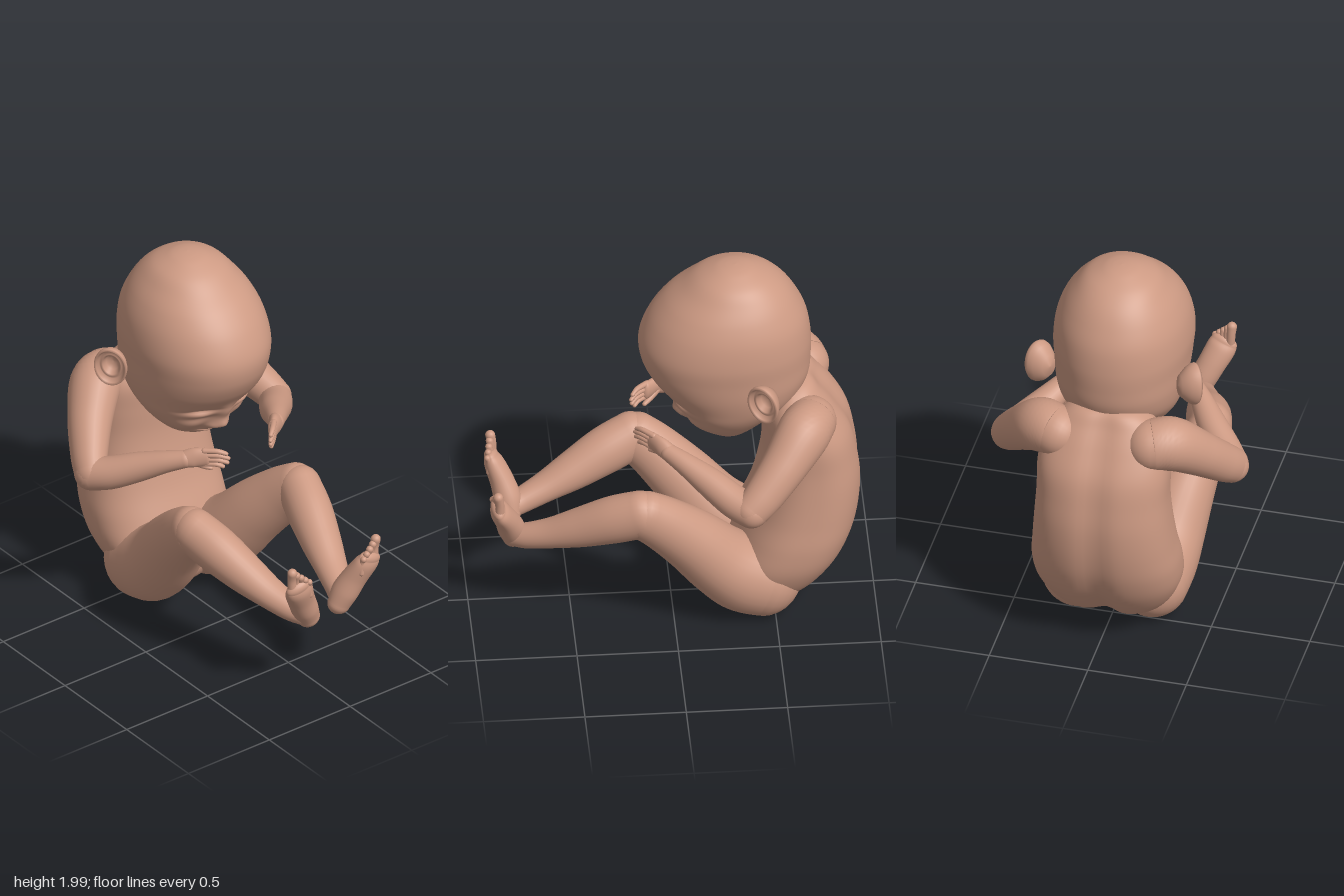
import * as THREE from 'three';
import { mergeVertices } from 'three/addons/utils/BufferGeometryUtils.js';

const skin = new THREE.MeshStandardMaterial({ name: 'skin', color: 0xcd9a83 });

// Smooth interpolation through rows of numbers, t from 0 to 1
function sample(rows, t) {
  const n = rows.length - 1, f = Math.min(t * n, n - 1e-6), i = Math.floor(f), u = f - i;
  const at = k => rows[Math.max(0, Math.min(n, k))];
  return rows[i].map((_, c) => {
    const a = at(i - 1)[c], b = at(i)[c], d = at(i + 1)[c], e = at(i + 2)[c];
    return b + 0.5 * u * (d - a + u * (2 * a - 5 * b + 4 * d - e + u * (3 * (b - d) + e - a)));
  });
}

// Skin a list of equal closed rings
function skinRings(rings) {
  const n = rings[0].length, index = [];
  for (let j = 0; j < rings.length - 1; j++) for (let i = 0; i < n; i++) {
    const k = (i + 1) % n, a = j * n + i, b = j * n + k;
    index.push(a, b, b + n, a, b + n, a + n);
  }
  const g = new THREE.BufferGeometry();
  g.setAttribute('position', new THREE.Float32BufferAttribute(rings.flat().flatMap(p => p.toArray()), 3));
  g.setIndex(index);
  const m = mergeVertices(g, 1e-5);
  m.computeVertexNormals();
  return m;
}

// Limb: rows of [x, y, z, sideways radius, other radius], with rounded ends
function limb(rows, steps = 36, sides = 28) {
  const X = new THREE.Vector3(1, 0, 0), rings = [];
  const pos = t => new THREE.Vector3(...sample(rows, t).slice(0, 3));
  const ring = (t, shift, k) => {
    const r = sample(rows, t), dir = pos(Math.min(1, t + 0.02)).sub(pos(Math.max(0, t - 0.02))).normalize();
    const side = X.clone().addScaledVector(dir, -X.dot(dir)).normalize();
    const up = dir.clone().cross(side);
    const c = pos(t).addScaledVector(dir, shift * Math.min(r[3], r[4]));
    rings.push(Array.from({ length: sides }, (_, i) => {
      const q = i / sides * Math.PI * 2;
      return c.clone().addScaledVector(side, r[3] * k * Math.cos(q)).addScaledVector(up, r[4] * k * Math.sin(q));
    }));
  };
  const cap = 8, angle = i => i / cap * Math.PI / 2;
  for (let i = cap; i > 0; i--) ring(0, -Math.sin(angle(i)), Math.cos(angle(i)));
  for (let j = 0; j <= steps; j++) ring(j / steps, 0, 1);
  for (let i = 1; i <= cap; i++) ring(1, Math.sin(angle(i)), Math.cos(angle(i)));
  return skinRings(rings);
}

// Body: rows of [y, front z, back z, half width], bottom to top
function slices(rows, steps, sides, power, shape) {
  const rings = [], pw = v => Math.sign(v) * Math.abs(v) ** (2 / power);
  for (let j = 0; j <= steps; j++) {
    const [y, zf, zb, w] = sample(rows, j / steps);
    rings.push(Array.from({ length: sides }, (_, i) => {
      const q = i / sides * Math.PI * 2, s = Math.sin(q);
      const p = new THREE.Vector3(w * pw(Math.cos(q)), y, (zf + zb) / 2 - (zf - zb) / 2 * pw(s));
      shape(p, -s);
      return p;
    }));
  }
  return skinRings(rings);
}

const bell = (d, s) => Math.exp(-d * d / (2 * s * s));

function mirrored(g) {
  const m = g.clone().scale(-1, 1, 1), a = m.index.array;
  for (let i = 0; i < a.length; i += 3) [a[i], a[i + 1]] = [a[i + 1], a[i]];
  return m;
}

export function createModel() {
  const model = new THREE.Group();
  model.name = 'baby';
  const add = (name, g) => {
    const m = new THREE.Mesh(g, skin);
    m.name = name;
    model.add(m);
  };
  const pair = (name, g) => {
    add('left' + name, g);
    add('right' + name, mirrored(g));
  };

  // Head, with face modelled by soft bumps: [x, y, width, height, amount]
  const face = [
    [0, 1.135, 0.032, 0.024, 0.055], [0, 1.2, 0.03, 0.045, 0.022], [0.045, 1.122, 0.018, 0.015, 0.022],
    [0.13, 1.215, 0.06, 0.03, -0.03], [0.13, 1.222, 0.048, 0.016, 0.028], [0.135, 1.252, 0.05, 0.008, -0.016],
    [0.17, 1.14, 0.06, 0.045, 0.022], [0, 1.087, 0.055, 0.011, 0.026], [0, 1.055, 0.045, 0.011, 0.026],
    [0, 1.071, 0.06, 0.006, -0.014], [0, 1.02, 0.05, 0.016, 0.018],
  ];
  add('head', slices([
    [1.0, -0.28, -0.28, 0], [1.007, -0.23, -0.33, 0.06], [1.03, -0.185, -0.38, 0.12], [1.08, -0.13, -0.43, 0.18],
    [1.14, -0.075, -0.49, 0.235], [1.21, -0.015, -0.57, 0.28], [1.28, 0.03, -0.64, 0.305], [1.37, 0.1, -0.68, 0.325],
    [1.47, 0.148, -0.69, 0.335], [1.58, 0.157, -0.69, 0.342], [1.7, 0.11, -0.67, 0.325], [1.8, 0.035, -0.625, 0.285],
    [1.88, -0.055, -0.57, 0.23], [1.94, -0.13, -0.5, 0.175], [1.98, -0.21, -0.42, 0.1], [1.995, -0.265, -0.37, 0.05],
    [2.0, -0.32, -0.32, 0],
  ], 150, 150, 2.1, (p, front) => {
    if (front <= 0) return;
    let d = 0;
    for (const [x, y, sx, sy, amount] of face) d += amount * bell(Math.abs(p.x) - x, sx) * bell(p.y - y, sy);
    p.z += d * Math.min(1, front * 2);
    p.y -= d * 0.15 * front;
  }));

  // Ears: shallow bowls with a rolled rim
  const bowl = [[0, -0.07], [0.5, -0.06], [0.85, -0.02], [0.98, 0.005], [1, 0.02], [0.95, 0.03], [0.86, 0.022],
    [0.75, 0], [0.62, 0.008], [0.52, 0.004], [0.4, -0.022], [0.2, -0.032], [0, -0.034]];
  const ear = new THREE.LatheGeometry(bowl.map(p => new THREE.Vector2(...p)), 40);
  ear.scale(0.112, 1, 0.085);
  const out = new THREE.Vector3(0.81, -0.1, 0.58).normalize();
  const up = new THREE.Vector3(0.25, 0.93, 0.22);
  up.addScaledVector(out, -up.dot(out)).normalize();
  ear.applyMatrix4(new THREE.Matrix4().makeBasis(up, out, up.clone().cross(out)).setPosition(0.38, 1.42, -0.435));
  pair('Ear', ear);

  // Neck and curved torso with a groove along the spine
  add('neck', limb([[0, 1.12, -0.64, 0.2, 0.15], [0, 1.25, -0.55, 0.19, 0.15], [0, 1.36, -0.46, 0.2, 0.17]]));
  add('torso', slices([
    [0.045, -0.43, -0.43, 0], [0.06, -0.33, -0.55, 0.16], [0.15, -0.27, -0.7, 0.28], [0.3, -0.27, -0.82, 0.355],
    [0.45, -0.33, -0.89, 0.37], [0.6, -0.39, -0.925, 0.355], [0.76, -0.43, -0.935, 0.34], [0.9, -0.45, -0.92, 0.33],
    [1.05, -0.45, -0.885, 0.33], [1.18, -0.45, -0.81, 0.31], [1.27, -0.48, -0.745, 0.25], [1.34, -0.52, -0.69, 0.15],
    [1.36, -0.6, -0.6, 0],
  ], 70, 72, 2.4, (p, front) => {
    if (front < 0) p.z -= front * (0.02 + 0.035 * bell(p.y - 0.15, 0.13)) * bell(p.x, 0.05);
  }));

  // Legs
  pair('Thigh', limb([
    [0.19, 0.205, -0.45, 0.18, 0.2], [0.2, 0.25, -0.34, 0.185, 0.2], [0.215, 0.35, -0.22, 0.18, 0.18],
    [0.255, 0.51, -0.08, 0.155, 0.16], [0.3, 0.65, 0.06, 0.125, 0.14], [0.325, 0.725, 0.155, 0.108, 0.13],
  ]));
  pair('Shin', limb([
    [0.325, 0.73, 0.165, 0.108, 0.125], [0.285, 0.675, 0.3, 0.112, 0.122], [0.235, 0.6, 0.46, 0.1, 0.1],
    [0.19, 0.54, 0.6, 0.082, 0.075], [0.15, 0.5, 0.71, 0.068, 0.065], [0.12, 0.485, 0.77, 0.06, 0.06],
  ]));
  pair('Foot', limb([
    [0.095, 0.465, 0.785, 0.06, 0.055], [0.125, 0.53, 0.795, 0.068, 0.068], [0.165, 0.61, 0.82, 0.07, 0.06],
    [0.205, 0.69, 0.855, 0.074, 0.05], [0.22, 0.725, 0.868, 0.068, 0.036],
  ]));
  for (let i = 0; i < 5; i++) {
    const r = [0.025, 0.019, 0.018, 0.017, 0.016][i], k = i / 4;
    const x = 0.255 - 0.09 * k, y = 0.735 - 0.04 * k, z = 0.862 + 0.02 * k;
    pair('Toe' + (i + 1), limb([
      [x - 0.005, y - 0.03, z, r, r], [x, y + 0.04 - 0.01 * k, z, r * 0.9, r * 0.9],
      [x + 0.003, y + 0.085 - 0.035 * k, z + 0.008, r, r],
    ], 10, 14));
  }

  // Arms and hands
  pair('UpperArm', limb([
    [0.24, 1.19, -0.67, 0.13, 0.13], [0.33, 1.185, -0.63, 0.13, 0.135], [0.44, 1.08, -0.53, 0.112, 0.115],
    [0.53, 0.965, -0.42, 0.092, 0.1], [0.57, 0.905, -0.355, 0.08, 0.09],
  ]));
  pair('Forearm', limb([
    [0.57, 0.9, -0.355, 0.082, 0.085], [0.51, 0.925, -0.27, 0.083, 0.083], [0.42, 0.98, -0.16, 0.074, 0.074],
    [0.34, 1.035, -0.05, 0.056, 0.056], [0.28, 1.068, 0.03, 0.042, 0.045],
  ]));
  pair('Palm', limb([
    [0.285, 1.066, 0.025, 0.038, 0.043], [0.25, 1.083, 0.065, 0.03, 0.05], [0.205, 1.088, 0.105, 0.024, 0.05],
  ], 16, 24));
  for (let i = 0; i < 4; i++) {
    const y = 1.126 - i * 0.025, reach = [0.9, 1, 0.95, 0.75][i];
    pair('Finger' + (i + 1), limb([
      [0.215, y, 0.1, 0.016, 0.015], [0.205 - 0.04 * reach, y + 0.004, 0.11 + 0.045 * reach, 0.014, 0.013],
      [0.205 - 0.075 * reach, y - 0.008, 0.11 + 0.075 * reach, 0.011, 0.01],
    ], 10, 12));
  }
  pair('Thumb', limb([
    [0.25, 1.06, 0.05, 0.022, 0.02], [0.215, 1.035, 0.085, 0.017, 0.016], [0.185, 1.022, 0.115, 0.012, 0.011],
  ], 10, 12));

  return model;
}
